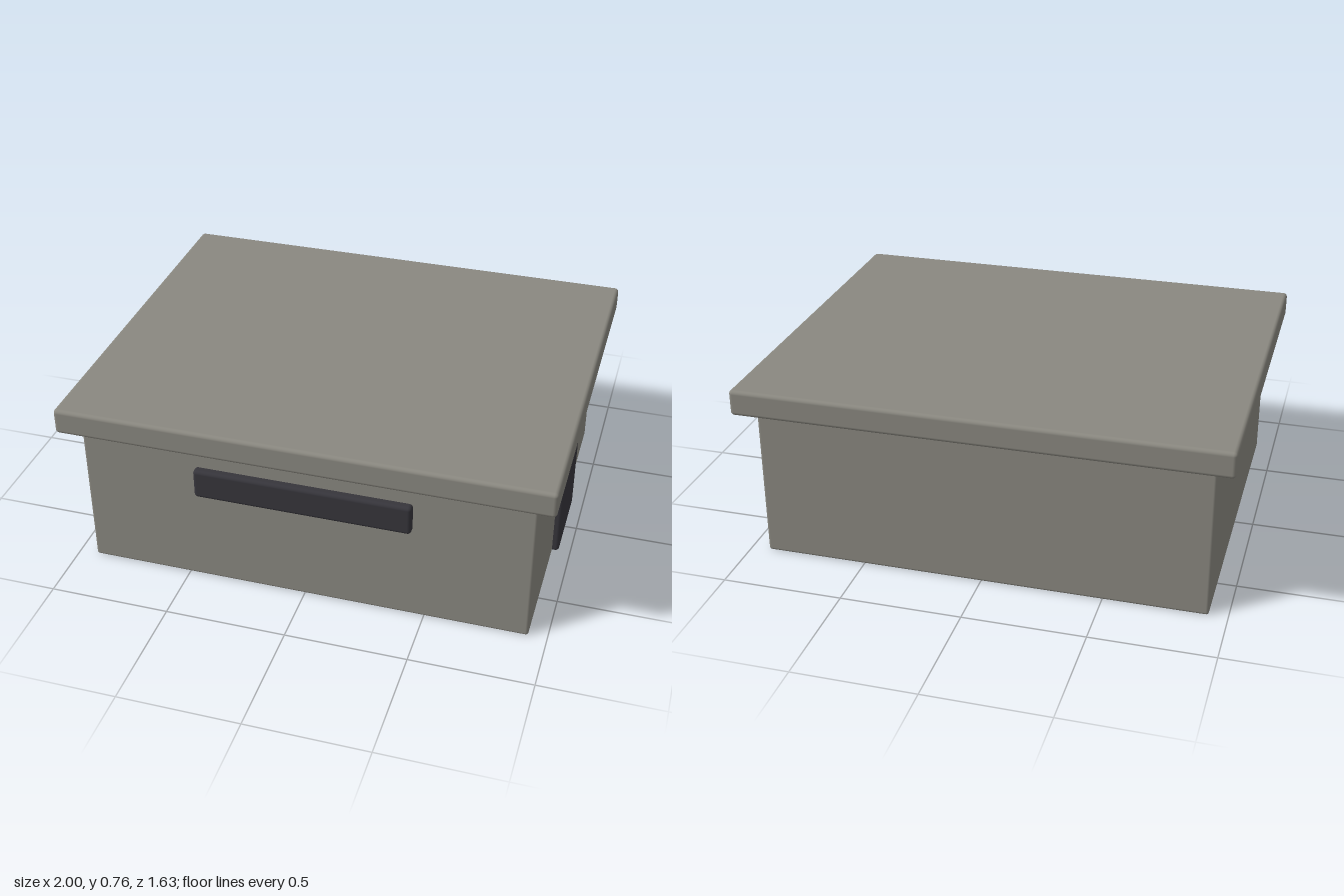
import * as THREE from 'three';
import { RoundedBoxGeometry } from 'three/addons/geometries/RoundedBoxGeometry.js';

export function createModel() {
  const concrete = new THREE.MeshStandardMaterial({ color: 0x8a8880 });
  concrete.name = 'concrete';
  const darkMetal = new THREE.MeshStandardMaterial({ color: 0x36353b });
  darkMetal.name = 'darkMetal';

  const model = new THREE.Group();
  model.name = 'bunker';

  // Softly bevelled box given by its minimum and maximum corners
  function block(name, material, min, max, radius) {
    const size = max.map((v, i) => v - min[i]);
    const mesh = new THREE.Mesh(new RoundedBoxGeometry(...size, 3, radius), material);
    mesh.position.set(...max.map((v, i) => (v + min[i]) / 2));
    mesh.name = name;
    model.add(mesh);
  }

  // Walls and overhanging roof slab
  block('walls', concrete, [-0.924, 0, -0.738], [0.924, 0.67, 0.738], 0.012);
  block('roofSlab', concrete, [-1, 0.652, -0.815], [1, 0.76, 0.815], 0.016);

  // Viewing slit on the front, door on the left side
  block('viewingSlit', darkMetal, [-0.445, 0.42, 0.708], [0.445, 0.548, 0.77], 0.015);
  block('door', darkMetal, [0.896, 0.003, -0.186], [0.952, 0.595, 0.186], 0.015);

  return model;
}
